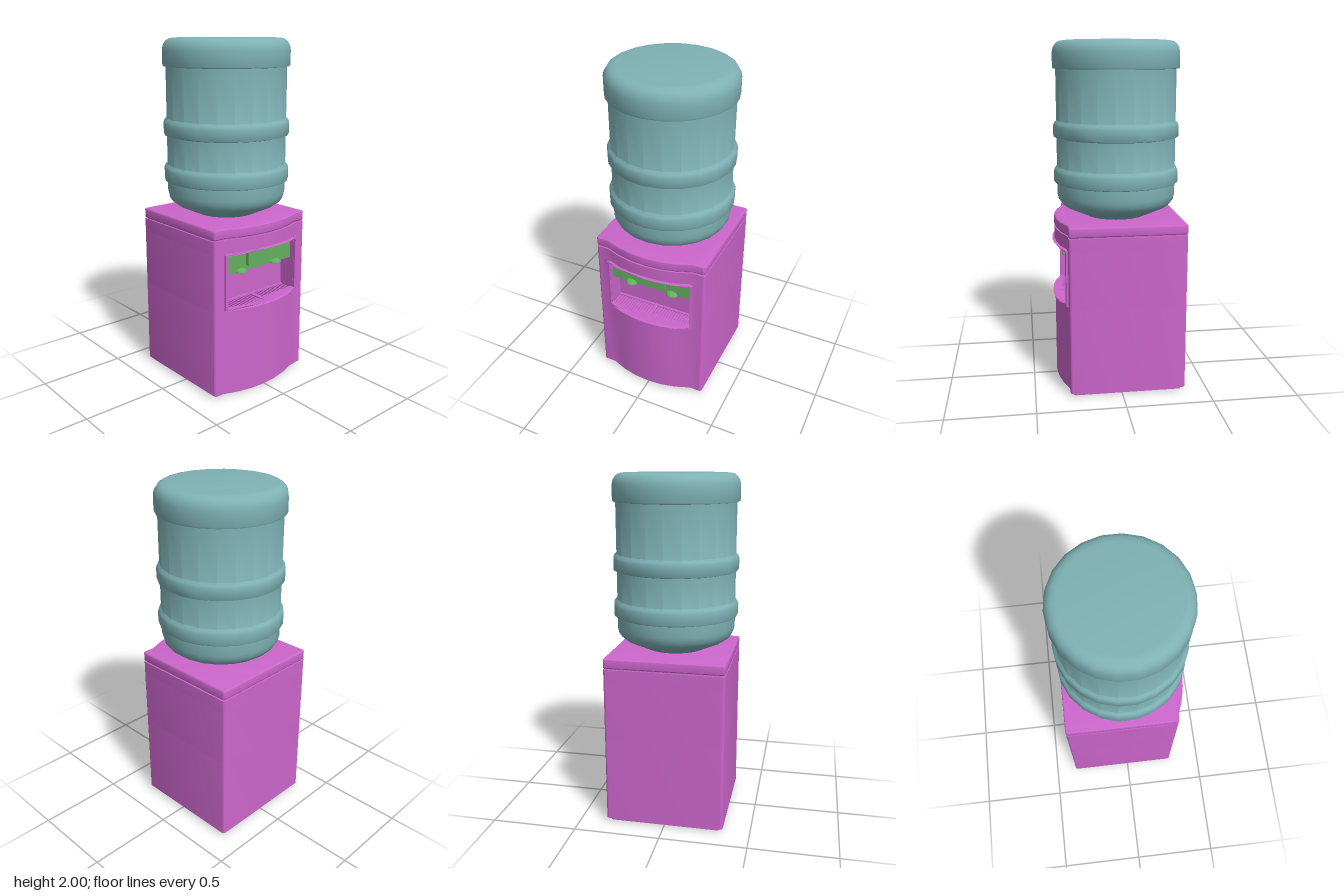
import * as THREE from 'three';
import { toCreasedNormals } from 'three/addons/utils/BufferGeometryUtils.js';

const PURPLE = new THREE.MeshStandardMaterial({ color: 0xcc66cc });
const TEAL = new THREE.MeshStandardMaterial({ color: 0x7fb2b5 });
const GREEN = new THREE.MeshStandardMaterial({ color: 0x62b05f });

const HALF_W = 0.345, FRONT = 0.3, BACK = -0.37, BOW = 0.27;
const RADIUS = 0.6375; // radius of the bowed front

// z of the bowed front at a given x
const frontZ = (x) => Math.max(FRONT, FRONT + 0.06 - RADIUS + Math.sqrt(RADIUS * RADIUS - x * x));

function add(group, name, geometry, material, x = 0, y = 0, z = 0) {
  const mesh = new THREE.Mesh(geometry, material);
  mesh.name = name;
  mesh.position.set(x, y, z);
  group.add(mesh);
  return mesh;
}

// Cabinet plan (shape y = -z): rounded corners, bowed front, optional niche
function plan(inset, niche = false) {
  const w = HALF_W - inset, f = -(FRONT - inset), b = -BACK - inset, r = 0.015;
  const s = new THREE.Shape();
  s.moveTo(-BOW, f);
  if (niche) {
    for (const side of [-1, 1]) {
      const rim = [side * 0.26, -frontZ(0.26) + inset], deep = [side * 0.26, -0.2];
      for (const p of side < 0 ? [rim, deep] : [deep, rim]) s.lineTo(...p);
    }
    s.lineTo(BOW, f);
  } else {
    for (let i = -2; i <= 3; i++) s.lineTo(i * 0.09, -frontZ(i * 0.09) + inset);
  }
  s.lineTo(w - r, f);
  s.absarc(w - r, f + r, r, -Math.PI / 2, 0);
  s.absarc(w - r, b - r, r, 0, Math.PI / 2);
  s.absarc(-w + r, b - r, r, Math.PI / 2, Math.PI);
  s.absarc(-w + r, f + r, r, Math.PI, Math.PI * 1.5);
  return s;
}

// Horizontal slab of the cabinet between two heights
function slab(y0, y1, { inset = 0, niche = false, bevel = 0 } = {}) {
  const g = new THREE.ExtrudeGeometry(plan(inset, niche), {
    depth: y1 - y0 - 2 * bevel, curveSegments: 4,
    bevelEnabled: bevel > 0, bevelSize: bevel, bevelThickness: bevel, bevelOffset: -bevel, bevelSegments: 3,
  });
  g.rotateX(-Math.PI / 2).translate(0, y0 + bevel, 0);
  return toCreasedNormals(g, 0.6);
}

// Outline of the niche surround, with a slightly arched top
function arched(Path, halfW, bottom, side, rise) {
  const p = new Path(), n = 6;
  for (let i = 0; i <= n; i++) {
    const x = halfW * (2 * i / n - 1);
    i ? p.lineTo(x, bottom) : p.moveTo(x, bottom);
  }
  for (let i = n; i >= 0; i--) {
    const t = 2 * i / n - 1;
    p.lineTo(halfW * t, side + rise * (1 - t * t));
  }
  p.closePath();
  return p;
}

// Flat surround pushed out along the bowed front
function surroundGeometry() {
  const shape = arched(THREE.Shape, 0.274, 0.525, 0.852, 0.013);
  shape.holes.push(arched(THREE.Path, 0.261, 0.538, 0.844, 0.013));
  const g = new THREE.ExtrudeGeometry(shape, { depth: 0.03, bevelEnabled: false });
  const p = g.attributes.position;
  for (let i = 0; i < p.count; i++) {
    p.setZ(i, p.getZ(i) - 0.018 + frontZ(p.getX(i)));
  }
  return toCreasedNormals(g, 0.6);
}

function createCabinet() {
  const cabinet = new THREE.Group();
  cabinet.name = 'cabinet';
  add(cabinet, 'plinth', slab(0, 0.03, { inset: 0.02 }), PURPLE);
  add(cabinet, 'lowerBody', slab(0.02, 0.525), PURPLE);
  add(cabinet, 'nicheBody', slab(0.525, 0.86, { niche: true }), PURPLE);
  add(cabinet, 'upperBody', slab(0.86, 0.937), PURPLE);
  add(cabinet, 'lidGroove', slab(0.93, 0.95, { inset: 0.01 }), PURPLE);
  add(cabinet, 'lid', slab(0.943, 1.0, { bevel: 0.008 }), PURPLE);
  add(cabinet, 'nicheSurround', surroundGeometry(), PURPLE);
  return cabinet;
}

// Drip tray: two grilles separated by a rib
function createDripTray() {
  const tray = new THREE.Group();
  tray.name = 'dripTray';
  add(tray, 'trayRib', new THREE.BoxGeometry(0.02, 0.013, 0.14), PURPLE, 0, 0.5315, 0.27);
  add(tray, 'trayBackRim', new THREE.BoxGeometry(0.52, 0.013, 0.015), PURPLE, 0, 0.5315, 0.2075);
  for (const side of [-1, 1]) {
    for (let i = 0; i < 14; i++) {
      const x = side * (0.022 + i * 0.0175), length = frontZ(x) - 0.21;
      add(tray, 'grilleBar', new THREE.BoxGeometry(0.008, 0.009, length), PURPLE, x, 0.5295, 0.205 + length / 2);
    }
  }
  return tray;
}

// Tap panel with a raised middle block and two domed outlets
function createTapPanel() {
  const panel = new THREE.Group();
  panel.name = 'tapPanel';
  add(panel, 'panelBoard', new THREE.BoxGeometry(0.52, 0.14, 0.08), GREEN, 0, 0.79, 0.235);
  add(panel, 'panelBlock', new THREE.BoxGeometry(0.19, 0.11, 0.03), GREEN, 0, 0.805, 0.282);
  const dome = new THREE.SphereGeometry(0.038, 16, 6, 0, Math.PI * 2, 0, Math.PI / 2);
  const base = new THREE.CircleGeometry(0.038, 16).rotateX(Math.PI / 2);
  for (const side of [-1, 1]) {
    add(panel, 'outletDome', dome, GREEN, side * 0.133, 0.72, 0.272).scale.y = 0.6;
    add(panel, 'outletBase', base, GREEN, side * 0.133, 0.72, 0.272);
  }
  return panel;
}

// Upturned bottle: one lathe profile with two ribs and a wide shoulder cap
function createBottle() {
  const r = 0.345, R = 0.363;
  const profile = [[0, 0.998], [0.17, 0.998], [0.295, 1.055], [0.322, 1.075], [0.338, 1.1], [r, 1.13]];
  for (const y of [1.195, 1.458]) {
    profile.push([r, y], [R - 0.003, y + 0.004], [R, y + 0.01], [R, y + 0.07], [R - 0.005, y + 0.084], [r, y + 0.098]);
  }
  profile.push([r, 1.843], [R - 0.003, 1.845], [R, 1.853], [R, 1.935], [0.357, 1.962], [0.342, 1.984], [0.322, 1.996], [0.295, 2], [0, 2]);
  const g = new THREE.LatheGeometry(profile.map(([x, y]) => new THREE.Vector2(x, y)), 22);
  const group = new THREE.Group();
  group.name = 'bottle';
  add(group, 'bottleShell', toCreasedNormals(g, 0.75), TEAL, 0, 0, -0.008);
  return group;
}

export function createModel() {
  const model = new THREE.Group();
  model.name = 'waterDispenser';
  model.add(createCabinet(), createDripTray(), createTapPanel(), createBottle());
  return model;
}
